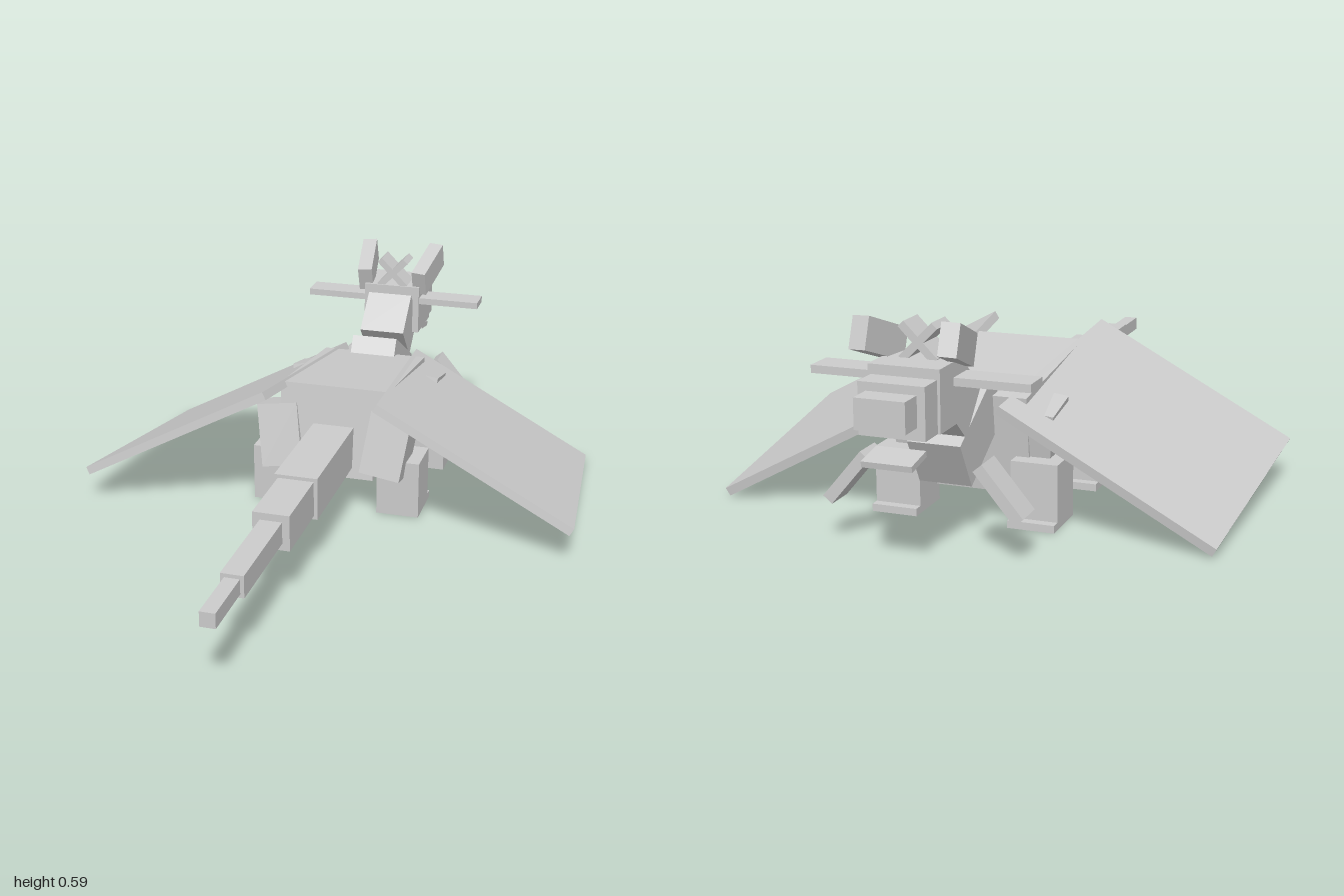
import * as THREE from 'three';

const material = new THREE.MeshStandardMaterial({ color: 0xcccccc, flatShading: true });
const deg = THREE.MathUtils.degToRad;

export function createModel() {
  const model = new THREE.Group();
  model.name = 'blockyDragon';

  // Box by size, centre and rotation in degrees
  const box = (name, size, pos, rot = [0, 0, 0], parent = model) => {
    const mesh = new THREE.Mesh(new THREE.BoxGeometry(...size), material);
    mesh.name = name;
    mesh.position.set(...pos);
    mesh.rotation.set(...rot.map(deg));
    parent.add(mesh);
    return mesh;
  };

  // Body and belly plate, leaning down toward the head
  const body = new THREE.Group();
  body.name = 'body';
  body.position.set(0, 0.234, -0.253);
  body.rotation.x = deg(-7);
  model.add(body);
  box('torso', [0.32, 0.247, 0.46], [0, 0, 0], [0, 0, 0], body);
  box('bellyPlate', [0.23, 0.04, 0.4], [0, -0.135, 0], [0, 0, 0], body);

  // Stepped tail: start z, end z, half thickness
  [[-0.06, 0.335, 0.06], [0.335, 0.545, 0.05], [0.545, 0.835, 0.03], [0.835, 1, 0.02]]
    .forEach(([z0, z1, r], i) =>
      box('tailSegment' + (i + 1), [r * 2, r * 2, z1 - z0], [0, 0.21, (z0 + z1) / 2]));

  // Neck
  box('lowerNeck', [0.14, 0.14, 0.253], [0, 0.258, -0.565], [-30, 0, 0]);
  box('upperNeck', [0.14, 0.14, 0.14], [0, 0.365, -0.677], [42, 0, 0]);

  // Head
  box('skull', [0.18, 0.152, 0.165], [0, 0.409, -0.787]);
  box('muzzle', [0.166, 0.127, 0.075], [0, 0.397, -0.9]);
  box('snout', [0.126, 0.075, 0.07], [0, 0.402, -0.965]);
  box('lowerJaw', [0.126, 0.015, 0.082], [0, 0.283, -0.93], [-10, 0, 0]);

  for (const s of [1, -1]) {
    const side = s > 0 ? 'left' : 'right';

    // Ears, horns, crest blades and hanging blades
    box(side + 'Ear', [0.2, 0.02, 0.08], [s * 0.18, 0.438, -0.752]);
    box(side + 'Horn', [0.045, 0.08, 0.17], [s * 0.1, 0.526, -0.787], [20, s * -8, 0]);
    box(side + 'CrestBlade', [0.12, 0.02, 0.08], [0, 0.523, -0.75], [0, 0, s * 45]);
    box(side + 'HangingBlade', [0.16, 0.03, 0.08], [s * 0.197, 0.173, -0.75], [0, 0, s * -50]);

    // Legs with leaning thighs, upright feet and thin toes
    [['Front', -0.455], ['Hind', -0.107]].forEach(([end, z]) => {
      box(side + end + 'Thigh', [0.12, 0.185, 0.123], [s * 0.158, 0.217, z + 0.04], [-12, 0, s * -8]);
      box(side + end + 'Foot', [0.125, 0.17, 0.125], [s * 0.188, 0.085, z]);
      box(side + end + 'Toes', [0.125, 0.02, 0.026], [s * 0.188, 0.01, z - 0.075]);
    });

    // Drooping wing, oriented by its span and chord directions
    const span = new THREE.Vector3(0.555, -0.3 * s, 0).normalize();
    const chord = new THREE.Vector3(0.05 * s, 0.085, 0.695).normalize();
    const up = new THREE.Vector3().crossVectors(chord, span).normalize();
    const wing = box(side + 'Wing', [0.631, 0.024, 0.702], [s * 0.4175, 0.2175, -0.2275]);
    wing.quaternion.setFromRotationMatrix(new THREE.Matrix4().makeBasis(span, up, chord));
    wing.position.addScaledVector(up, -0.012);
  }
  return model;
}
